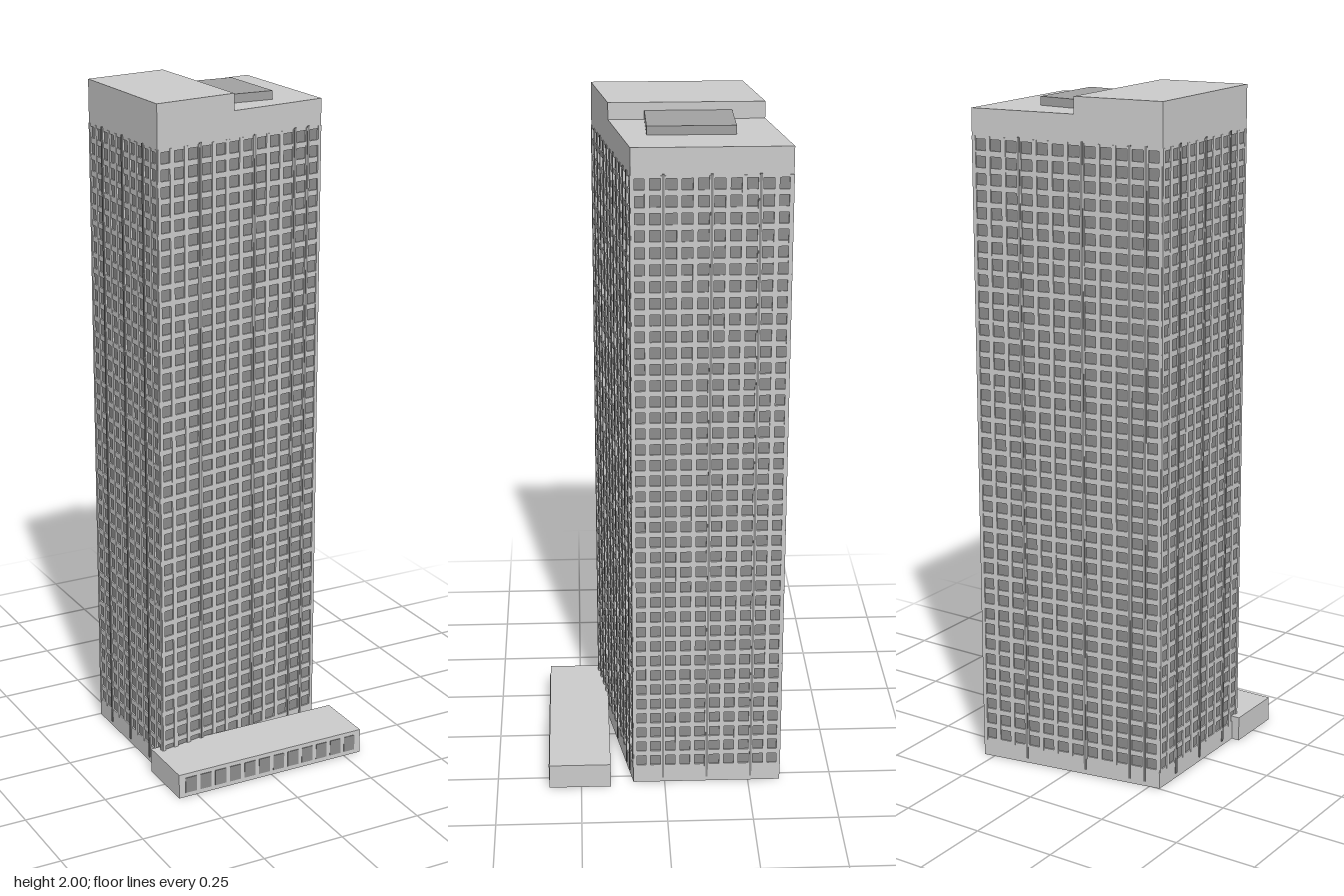
import * as THREE from 'three';
import { mergeGeometries } from 'three/addons/utils/BufferGeometryUtils.js';

const HALF_W = 0.285, HALF_D = 0.2215, SLOPE = -0.172, MID_Z = -0.0775;
const BASE_TOP = 0.05, CROWN = 1.875, FLOORS = 38;

const concrete = new THREE.MeshStandardMaterial({ color: 0xcccccc });
const glass = new THREE.MeshStandardMaterial({ color: 0x8c8c8c });
const hatch = new THREE.MeshStandardMaterial({ color: 0xa2a2a2 });

// Corners of the skewed plan, inset by d, ending at x1; order: front left to right, then back
function plan(d, x1 = HALF_W - d) {
  const x0 = -HALF_W + d, h = HALF_D - d * 1.015;
  const at = (x, s) => new THREE.Vector2(x, MID_Z + SLOPE * x + s * h);
  return [at(x0, 1), at(x1, 1), at(x1, -1), at(x0, -1)];
}

// Upright prism on a plan
function prism(corners, y0, y1) {
  const shape = new THREE.Shape(corners.map((c) => new THREE.Vector2(c.x, -c.y)));
  return new THREE.ExtrudeGeometry(shape, { depth: y1 - y0, bevelEnabled: false })
    .rotateX(-Math.PI / 2).translate(0, y0, 0);
}

function box(x0, x1, y0, y1, z0, z1) {
  return new THREE.BoxGeometry(x1 - x0, y1 - y0, z1 - z0)
    .translate((x0 + x1) / 2, (y0 + y1) / 2, (z0 + z1) / 2);
}

export function createModel() {
  const model = new THREE.Group();
  const add = (name, geometry, material = concrete) => {
    const mesh = new THREE.Mesh(geometry, material);
    mesh.name = name;
    model.add(mesh);
  };

  // Tower body: plain base, recessed glazing, roof crown
  add('towerBase', prism(plan(0.002), 0, BASE_TOP));
  add('glazing', prism(plan(0.006), BASE_TOP, CROWN), glass);
  add('crown', prism(plan(0.002), CROWN, 1.952));
  add('raisedRoof', prism(plan(0.002, -0.025), 1.952, 2));
  add('roofHatch', box(-0.025, 0.152, 1.95, 1.977, -0.2, 0.045), hatch);

  // Floor bands
  const bands = [];
  const pitch = (CROWN - BASE_TOP) / FLOORS;
  for (let i = 0; i <= FLOORS; i++) {
    const y = BASE_TOP + i * pitch;
    bands.push(prism(plan(0.002), Math.max(y - 0.008, BASE_TOP), Math.min(y + 0.008, CROWN)));
  }
  add('floorBands', mergeGeometries(bands));

  // Mullions on all four faces, with dark full-height joints at chosen bays
  const mullions = [], joints = [];
  const corners = plan(0.003);
  corners.forEach((a, f) => {
    const b = corners[(f + 1) % 4];
    const wide = f % 2 === 0;
    const bays = wide ? 12 : 10;
    const jointBays = wide ? [3, 7, 10, 11] : [2, 5, 8];
    const angle = -Math.atan2(b.y - a.y, b.x - a.x);
    const upright = (t, w, d, y0, y1) => {
      const p = a.clone().lerp(b, t);
      return new THREE.BoxGeometry(w, y1 - y0, d).rotateY(angle)
        .translate(p.x, (y0 + y1) / 2, p.y);
    };
    for (let i = 0; i <= bays; i++) {
      const inset = i === 0 ? 0.005 : i === bays ? -0.005 : 0;
      const t = i / bays + inset / a.distanceTo(b);
      mullions.push(upright(t, inset ? 0.01 : 0.014, 0.005, BASE_TOP, CROWN));
      if (jointBays.includes(i)) joints.push(upright(t, 0.007, 0.008, 0.015, CROWN + 0.004));
    }
  });
  add('mullions', mergeGeometries(mullions));
  add('joints', mergeGeometries(joints), glass);

  // Low entrance block with a row of windows
  add('podium', box(-0.307, 0.305, 0, 0.075, 0.162, 0.345));
  const panes = [];
  for (let i = 0; i < 12; i++) {
    const x = -0.001 + (i - 5.5) * 0.0487;
    panes.push(box(x - 0.018, x + 0.018, 0.014, 0.062, 0.34, 0.347));
  }
  add('podiumWindows', mergeGeometries(panes), glass);

  return model;
}
